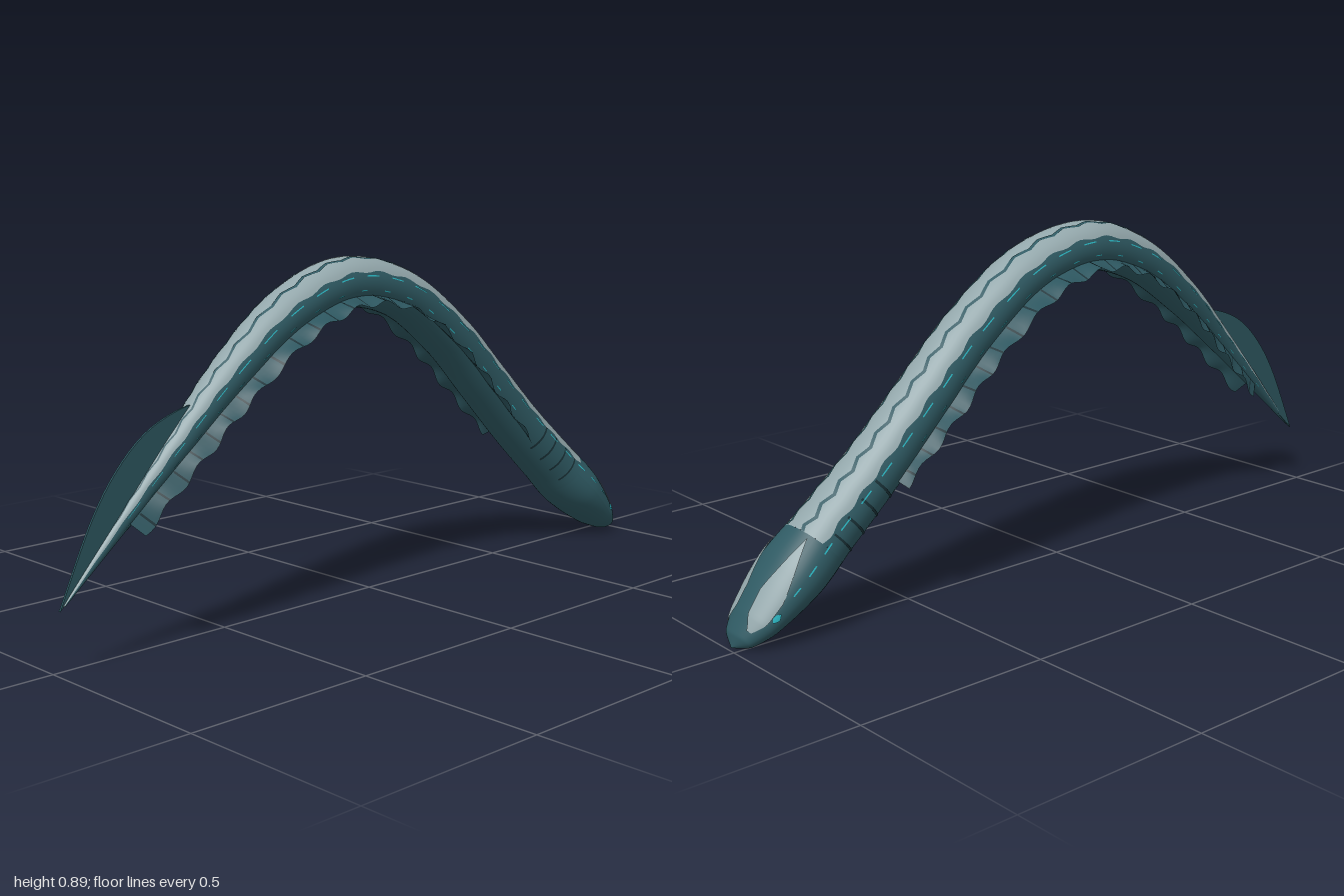
import * as THREE from 'three';

const mat = (name, color, side = THREE.FrontSide) => {
  const m = new THREE.MeshStandardMaterial({ color, side });
  m.name = name;
  return m;
};

// Spine stations from snout to tail: x, y, z, half width, half height, fin reach
const STATIONS = [
  [0.995, 0.014, 0.02, 0, 0, 0],
  [0.975, 0.03, 0.02, 0.048, 0.026, 0],
  [0.935, 0.064, 0.017, 0.077, 0.046, 0],
  [0.85, 0.142, 0.013, 0.097, 0.07, 0],
  [0.74, 0.245, 0.003, 0.085, 0.075, 0.085],
  [0.6, 0.375, -0.006, 0.08, 0.072, 0.094],
  [0.45, 0.522, -0.008, 0.077, 0.07, 0.107],
  [0.3, 0.663, -0.005, 0.075, 0.068, 0.114],
  [0.1, 0.795, 0, 0.073, 0.066, 0.117],
  [-0.1, 0.835, 0.002, 0.071, 0.066, 0.113],
  [-0.3, 0.775, 0.012, 0.065, 0.06, 0.1],
  [-0.5, 0.638, 0.025, 0.053, 0.05, 0.08],
  [-0.65, 0.505, 0.033, 0.036, 0.037, 0.06],
  [-0.8, 0.36, 0.033, 0.02, 0.022, 0.04],
  [-0.99, 0.176, 0.04, 0.002, 0.002, 0],
];
const LAST = STATIONS.length - 1;
const spine = new THREE.CatmullRomCurve3(STATIONS.map(s => new THREE.Vector3(s[0], s[1], s[2])));
const sizes = new THREE.CatmullRomCurve3(STATIONS.map(s => new THREE.Vector3(s[3], s[4], s[5])));

// Point at station k, offset sideways (z) and along the upward normal
function offset(k, side, up) {
  const c = spine.getPoint(k / LAST), t = spine.getTangent(k / LAST);
  const l = Math.hypot(t.x, t.y);
  return c.add(new THREE.Vector3((t.y / l) * up, (-t.x / l) * up, side));
}
const size = k => sizes.getPoint(k / LAST);

// Point on the skin at station k and angle in degrees (0 = left, 90 = back)
function skin(k, deg, lift = 0) {
  const r = size(k), a = THREE.MathUtils.degToRad(deg);
  return offset(k, (Math.max(r.x, 0) + lift) * Math.cos(a), (Math.max(r.y, 0) + lift) * Math.sin(a));
}

// Surface over a grid of points f(u, v)
function grid(f, nu, nv) {
  const pos = [], idx = [];
  for (let i = 0; i <= nu; i++) {
    for (let j = 0; j <= nv; j++) {
      pos.push(...f(i / nu, j / nv).toArray());
      if (i < nu && j < nv) {
        const a = i * (nv + 1) + j, b = a + nv + 1;
        idx.push(a, a + 1, b, a + 1, b + 1, b);
      }
    }
  }
  const g = new THREE.BufferGeometry();
  g.setAttribute('position', new THREE.Float32BufferAttribute(pos, 3));
  g.setIndex(idx);
  g.computeVertexNormals();
  return g;
}

export function createModel() {
  const group = new THREE.Group();
  const teal = mat('dark teal', 0x2f5a63);
  const finTeal = mat('fin teal', 0x2c555e, THREE.DoubleSide);
  const pale = mat('pale grey', 0x93a7ab);
  const line = mat('deep line', 0x1a3238, THREE.DoubleSide);
  const glow = mat('cyan glow', 0x2cb8c4);

  const add = (name, geometry, material) => {
    const m = new THREE.Mesh(geometry, material);
    m.name = name;
    group.add(m);
    return m;
  };
  // Skin patch between stations k0..k1 and angles lo(u, k)..hi(u, k)
  const patch = (name, material, k0, k1, lo, hi, nu, nv, lift = 0) =>
    add(name, grid((u, v) => {
      const k = k0 + (k1 - k0) * u;
      return skin(k, THREE.MathUtils.lerp(lo(u, k), hi(u, k), v), lift);
    }, nu, nv), material);

  // Head and trunk
  const HEAD = 3.75;
  const edge = (u, k) => 27 + 3 * Math.sin(k * 14);
  patch('head', teal, 0, HEAD, () => 0, () => 360, 40, 40);
  patch('back', pale, HEAD, LAST, edge, (u, k) => 180 - edge(u, k), 140, 16);
  patch('belly', teal, HEAD, LAST, (u, k) => 180 - edge(u, k), (u, k) => 360 + edge(u, k), 140, 26);

  // Zigzag lines along the back
  const zig = u => 4.5 * (2 / Math.PI) * Math.asin(Math.sin(u * Math.PI * 2 * 26));
  for (const s of [1, -1]) {
    const mid = u => 90 + s * (-21 + zig(u));
    patch('backZigzag', teal, HEAD, 13.2, u => mid(u) - 3.4, u => mid(u) + 3.4, 208, 1, 0.002);
  }

  for (const s of [1, -1]) {
    // Mirrored patch on one flank, given its centre angle and half spread
    const flank = (name, material, k0, k1, centre, half, nu, nv, lift) => {
      const c = u => (s > 0 ? centre(u) : 180 - centre(u));
      patch(name, material, k0, k1, u => c(u) - half(u), u => c(u) + half(u), nu, nv, lift);
    };

    // Pale patches on the crown
    flank('crownPatch', pale, 1.45, 3.7, u => 43 + 12 * u,
      u => 25 * Math.min(1, 0.3 + u * 2.6, (1 - u) * 2), 24, 10, 0.003);

    // Eye
    flank('eye', glow, 2.15, 2.4, () => 14, u => 8 * Math.sin(Math.PI * u), 10, 4, 0.003);

    // Gill slits
    for (let i = 0; i < 4; i++) {
      const k = 3.95 + i * 0.28;
      flank('gillSlit', line, k, k + 0.035, () => -10, () => 32, 1, 14, 0.002);
    }

    // Glowing dashes along the flank
    for (let k = 2.8; k < 13; k += 0.42) {
      flank('lateralDash', glow, k, k + 0.2, () => 17, () => 1.3, 3, 1, 0.002);
      if (k > 5) flank('lowerDash', glow, k + 0.2, k + 0.3, () => -14, () => 1.1, 2, 1, 0.002);
    }

    // Rippled side fin, from the lower flank outward
    const F0 = 5, F1 = 13.1;
    const fin = (k, v, lift = 0) => {
      const r = size(k);
      const ripple = 0.008 * Math.sin(k * 11) * v;
      const z = THREE.MathUtils.lerp(r.x * 0.85, r.z, v);
      const up = THREE.MathUtils.lerp(-r.y * 0.45, -0.047, v) + ripple + lift;
      return offset(k, s * z, up);
    };
    add('sideFin', grid((u, v) => fin(F0 + (F1 - F0) * u, v), 130, 4), finTeal);

    // Fin rays
    for (let k = F0 + 0.15; k < F1; k += 0.3) {
      add('finRay', grid((u, v) => fin(k + 0.025 * u, 0.1 + 0.9 * v, 0.0015), 1, 4), line);
    }
  }

  // Tail fin, a thin upright blade
  const blade = new THREE.Shape();
  blade.moveTo(-0.58, 0.575);
  blade.splineThru([[-0.63, 0.586], [-0.74, 0.545], [-0.83, 0.468], [-0.91, 0.353], [-1, 0.165]]
    .map(p => new THREE.Vector2(...p)));
  blade.lineTo(-0.8, 0.35);
  blade.lineTo(-0.6, 0.54);
  const bladeGeo = new THREE.ExtrudeGeometry(blade, { depth: 0.006, bevelEnabled: false, curveSegments: 24 });
  add('tailFin', bladeGeo, finTeal).position.z = 0.032;

  return group;
}
